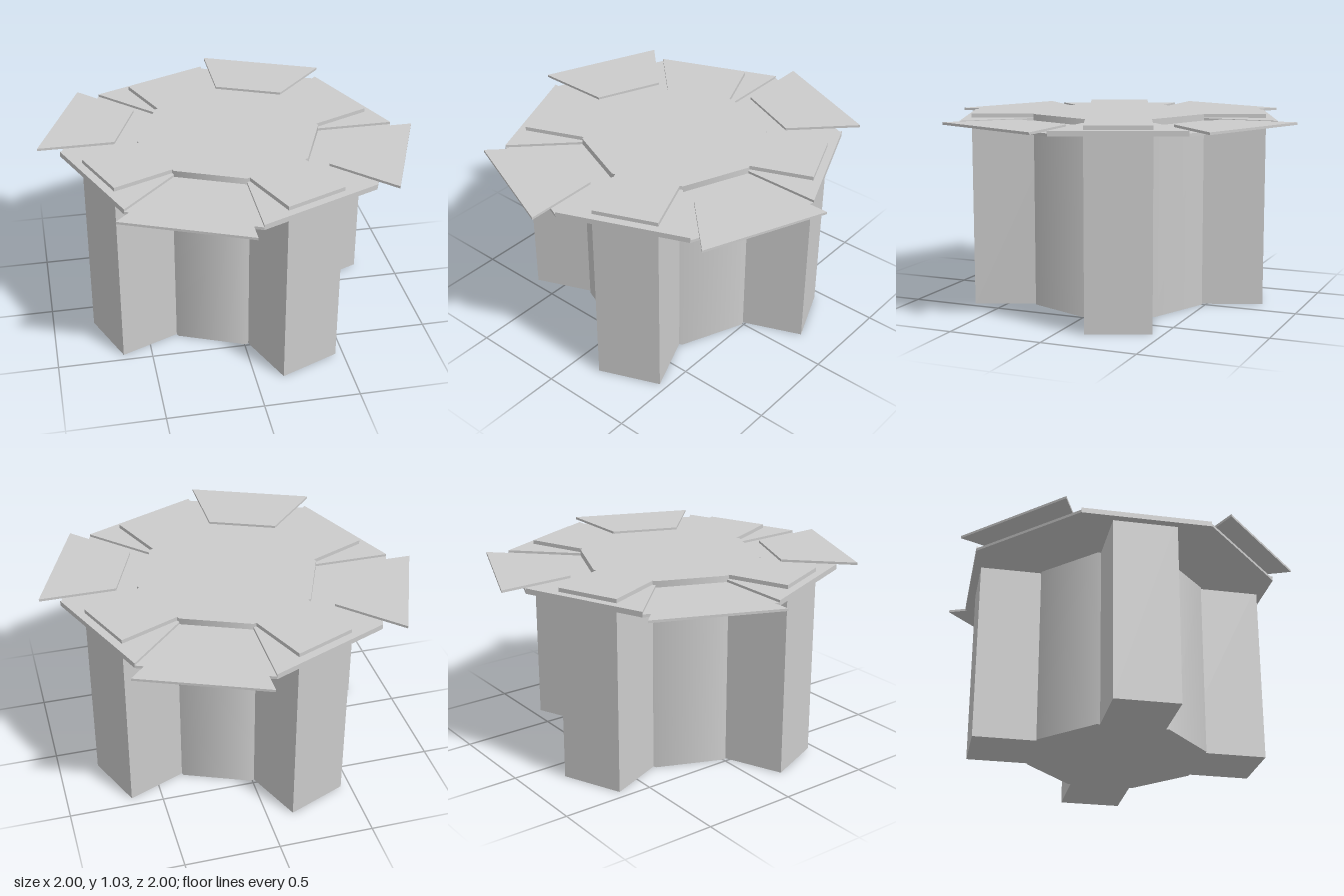
import * as THREE from 'three';

const CORE_R = 0.487, PLATE_R = 0.889, TOP = 1.035;
const HALF = Math.PI / 8;

export function createModel() {
  const model = new THREE.Group();
  const material = new THREE.MeshStandardMaterial({ color: 0xcccccc });
  const add = (name, geometry, x = 0, y = 0, z = 0) => {
    const mesh = new THREE.Mesh(geometry, material);
    mesh.name = name;
    mesh.position.set(x, y, z);
    model.add(mesh);
    return mesh;
  };

  // Eight-sided core with soft-shaded walls, and the flat plate around it
  const off = 0.005;
  add('core', new THREE.CylinderGeometry(CORE_R, CORE_R, TOP, 8), off, TOP / 2, off);
  const plate = new THREE.CylinderGeometry(PLATE_R, PLATE_R, 0.015, 8).toNonIndexed();
  plate.computeVertexNormals();
  add('plate', plate, off, 0.9935, off);

  // Four block arms, running the full height
  const armGeometry = new THREE.BoxGeometry(0.48, TOP, 0.338).translate(0.54, TOP / 2, 0);

  // Thin trapezoid covering one eighth of the plate ring
  const c = Math.cos(HALF), s = Math.sin(HALF);
  const sector = new THREE.Shape([
    new THREE.Vector2(CORE_R * c, -CORE_R * s),
    new THREE.Vector2(PLATE_R * c, -PLATE_R * s),
    new THREE.Vector2(PLATE_R * c, PLATE_R * s),
    new THREE.Vector2(CORE_R * c, CORE_R * s),
  ]);
  const panelGeometry = new THREE.ExtrudeGeometry(sector, { depth: 0.013, bevelEnabled: false })
    .rotateX(-Math.PI / 2);

  for (let i = 0; i < 4; i++) {
    const armAngle = HALF + i * Math.PI / 2;
    add('arm', armGeometry, off, 0, off).rotation.y = armAngle;
    add('armPanel', panelGeometry, off, 1.001, off).rotation.y = armAngle;

    // Panels between the arms are slid outwards
    const gapAngle = armAngle - 2 * HALF, slide = 0.118;
    add('slidPanel', panelGeometry, slide * Math.cos(gapAngle), 1.002, -slide * Math.sin(gapAngle))
      .rotation.y = gapAngle;
  }
  return model;
}
